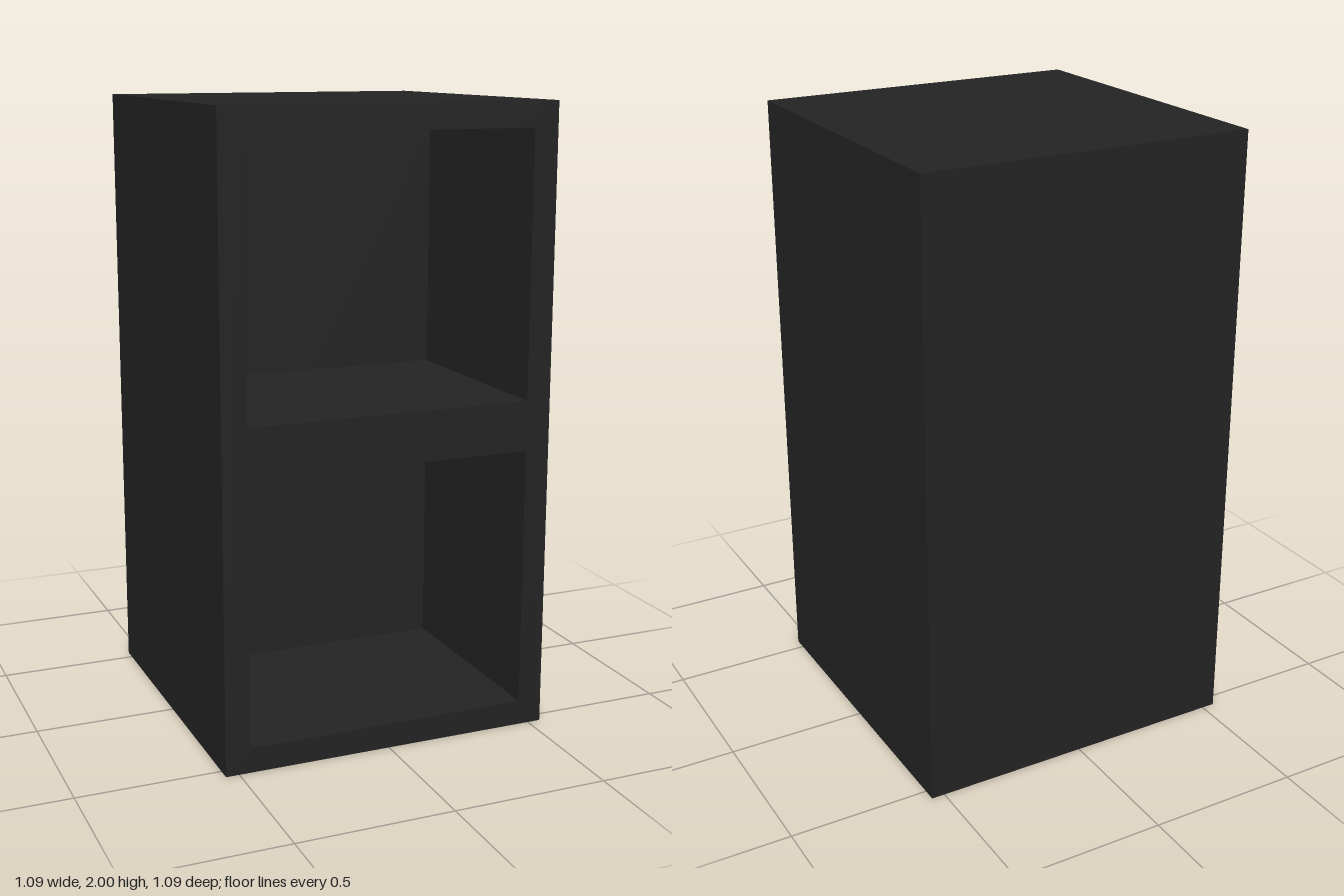
import * as THREE from 'three';

const W = 1.086, H = 2, D = 1.086; // overall size
const T = 0.08;                    // board thickness
const CAVITY = 0.71;               // depth of each compartment

export function createModel() {
  const black = new THREE.MeshStandardMaterial({ color: 0x232323 });
  black.name = 'matte black';
  const group = new THREE.Group();
  group.name = 'openCabinet';

  // Front frame: outline with two square-edged compartments cut through
  const outline = new THREE.Shape([
    new THREE.Vector2(-W / 2, 0), new THREE.Vector2(W / 2, 0),
    new THREE.Vector2(W / 2, H), new THREE.Vector2(-W / 2, H),
  ]);
  for (const base of [0, H / 2]) {
    const x = W / 2 - T, y0 = base + T, y1 = base + H / 2 - T;
    outline.holes.push(new THREE.Path([
      new THREE.Vector2(-x, y0), new THREE.Vector2(-x, y1),
      new THREE.Vector2(x, y1), new THREE.Vector2(x, y0),
    ]));
  }
  const frame = new THREE.Mesh(
    new THREE.ExtrudeGeometry(outline, { depth: CAVITY, bevelEnabled: false }), black);
  frame.name = 'compartmentFrame';
  frame.position.z = D / 2 - CAVITY;
  group.add(frame);

  // Solid rear section closing the compartments
  const rearDepth = D - CAVITY;
  const rear = new THREE.Mesh(new THREE.BoxGeometry(W, H, rearDepth), black);
  rear.name = 'rearSection';
  rear.position.set(0, H / 2, -D / 2 + rearDepth / 2);
  group.add(rear);

  return group;
}
